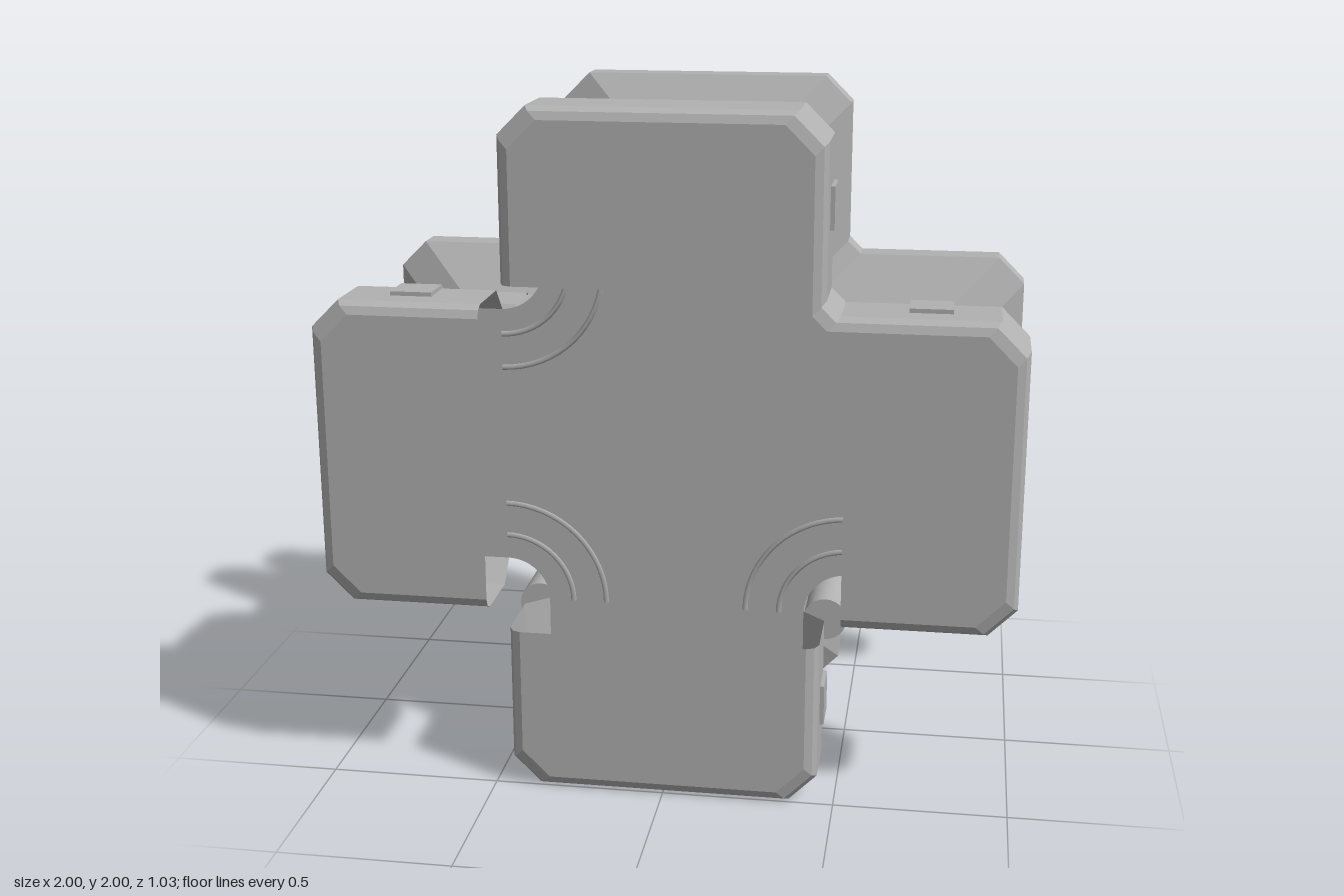
import * as THREE from 'three';

const grey = new THREE.MeshStandardMaterial({ color: 0xb2b2b2, side: THREE.DoubleSide });
grey.name = 'plainGrey';

// [z, inset] pairs: front block, groove, middle rib, groove, back block
const SLOPES = [[0.15, 0.16], [0.125, 0.16], [0.08, 0.09], [-0.08, 0.09], [-0.21, 0.22], [-0.24, 0.22]];
const SHELL = [[0.515, 0.035], [0.505, 0.012], [0.48, 0], [0.3, 0], ...SLOPES,
  [-0.39, 0], [-0.48, 0], [-0.505, 0.012], [-0.515, 0.035]];
const CORE = [[0.25, 0.06], ...SLOPES, [-0.26, 0.19]];

// quarter turns clockwise in the xy plane
function turn([x, y], k) {
  for (let i = 0; i < k; i++) [x, y] = [y, -x];
  return [x, y];
}

// outline of one arm pointing up, clockwise
function armPath(d, start = 0.51, k = 0) {
  const w = 0.45 - d, e = 1 - d, c = 0.08;
  return [[-w, start], [-w, e - c], [c - w, e], [w - c, e], [w, e - c], [w, start]].map(p => turn(p, k));
}

// two arms joined at their shared inner corner
function elbowPath(d) {
  const w = 0.45 - d;
  return [...armPath(d).slice(0, 5), [w, w + 0.04], [w + 0.04, w], ...armPath(d, 0.51, 1).slice(1)];
}

// plus-shaped core, with round hollows in three of its corners
function corePath(d) {
  const w = 0.444 - d, pts = [];
  for (let k = 0; k < 4; k++) {
    const q = [[w, 0.75]];
    if (k === 0) q.push([w, w]);
    else for (let i = 0; i <= 12; i++) {
      const a = Math.PI + (i / 12) * Math.PI / 2, r = 0.51 - w;
      q.push([0.51 + r * Math.cos(a), 0.51 + r * Math.sin(a)]);
    }
    q.push([0.75, w]);
    pts.push(...q.map(p => turn(p, k)));
  }
  return pts;
}

function loft(rows, path, closed) {
  const pos = [];
  const rings = rows.map(([z, d]) => path(d).map(([x, y]) => [x, y, z]));
  for (let i = 0; i < rings.length - 1; i++) {
    const A = rings[i], B = rings[i + 1], n = A.length;
    for (let j = 0; j < (closed ? n : n - 1); j++) {
      const m = (j + 1) % n;
      pos.push(...A[j], ...A[m], ...B[m], ...A[j], ...B[m], ...B[j]);
    }
  }
  const g = new THREE.BufferGeometry();
  g.setAttribute('position', new THREE.Float32BufferAttribute(pos, 3));
  g.computeVertexNormals();
  return g;
}

function face(points, z) {
  const g = new THREE.ShapeGeometry(new THREE.Shape(points.map(p => new THREE.Vector2(...p))));
  g.translate(0, 0, z);
  if (z < 0) {
    g.index.array.reverse();
    g.computeVertexNormals();
  }
  return g;
}

function add(parent, name, geometry, x = 0, y = 0, z = 0) {
  const m = new THREE.Mesh(geometry, grey);
  m.name = name;
  m.position.set(x, y, z);
  parent.add(m);
  return m;
}

// walls plus front and back faces; extra closes the faces towards the middle
function section(parent, name, rows, path, closed = false, extra = []) {
  const g = new THREE.Group();
  g.name = name;
  add(g, name + 'Walls', loft(rows, path, closed));
  for (const [z, d] of [rows[0], rows[rows.length - 1]]) {
    add(g, name + (z > 0 ? 'Front' : 'Back'), face([...path(d), ...extra], z));
  }
  parent.add(g);
}

export function createModel() {
  const model = new THREE.Group();
  model.name = 'crossJunction';
  const body = new THREE.Group();
  body.name = 'body';
  body.position.y = 1;
  model.add(body);

  // outer shells: one elbow and two separate arms
  section(body, 'elbowShell', SHELL, elbowPath, false,
    [[0.51, 0], [0.09, 0], [0, -0.09], [-0.09, 0], [0, 0.1], [0, 0.51]]);
  section(body, 'lowerArm', SHELL, d => armPath(d, 0.51, 2));
  section(body, 'rightArm', SHELL, d => armPath(d, 0.51, 3));

  // recessed core seen in the open corners
  section(body, 'core', CORE, corePath, true);

  // raised arc trims around the hollows
  for (let k = 1; k < 4; k++) {
    const [cx, cy] = turn([0.51, 0.51], k);
    for (const [z, r] of [[0.252, 0.2], [0.252, 0.3], [-0.262, 0.32]]) {
      const trim = new THREE.TorusGeometry(r, 0.008, 4, 16, Math.PI / 2);
      trim.rotateZ(Math.PI - k * Math.PI / 2);
      add(body, 'arcTrim', trim, cx, cy, z);
    }
  }

  // details repeated on the four arms
  const padShape = new THREE.Shape([[0.41, 0], [0.41, 0.012], [0.3, 0.012], [0.2, -0.09],
    [0.2, -0.107], [0.3, 0]].map(p => new THREE.Vector2(...p)));
  const padGeo = new THREE.ExtrudeGeometry(padShape, { depth: 0.12, bevelEnabled: false });
  const X = new THREE.Vector3(1, 0, 0), Y = new THREE.Vector3(0, 1, 0), Z = new THREE.Vector3(0, 0, 1);
  for (let k = 0; k < 4; k++) {
    const arm = new THREE.Group();
    arm.name = 'armDetails';
    arm.rotation.z = -k * Math.PI / 2;
    body.add(arm);
    for (const s of [1, -1]) {
      const pad = add(arm, 'sidePad', padGeo, 0.45 * s, s > 0 ? 0.67 : 0.79, 0);
      pad.quaternion.setFromRotationMatrix(new THREE.Matrix4().makeBasis(
        Z, X.clone().multiplyScalar(s), Y.clone().multiplyScalar(s)));
    }
    add(arm, 'ribEndPlate', new THREE.BoxGeometry(0.56, 0.008, 0.08), 0, 0.911, 0);
  }

  // chamfered housing across the top rib
  const housing = new THREE.Shape([[-0.28, 0.74], [-0.28, 0.83], [-0.22, 0.895], [0.22, 0.895],
    [0.28, 0.83], [0.28, 0.74]].map(p => new THREE.Vector2(...p)));
  add(body, 'topHousing', new THREE.ExtrudeGeometry(housing,
    { depth: 0.33, bevelEnabled: false }), 0, 0, -0.2);
  for (const z of [-0.15, 0.11]) {
    add(body, 'topVent', new THREE.BoxGeometry(0.23, 0.008, 0.025), 0, 0.898, z);
  }

  // rollers beside the lower arm
  for (const s of [1, -1]) {
    const roller = new THREE.CylinderGeometry(0.065, 0.065, 0.33, 24);
    roller.rotateX(Math.PI / 2);
    add(body, 'roller', roller, 0.44 * s, -0.575, -0.035);
  }
  return model;
}
